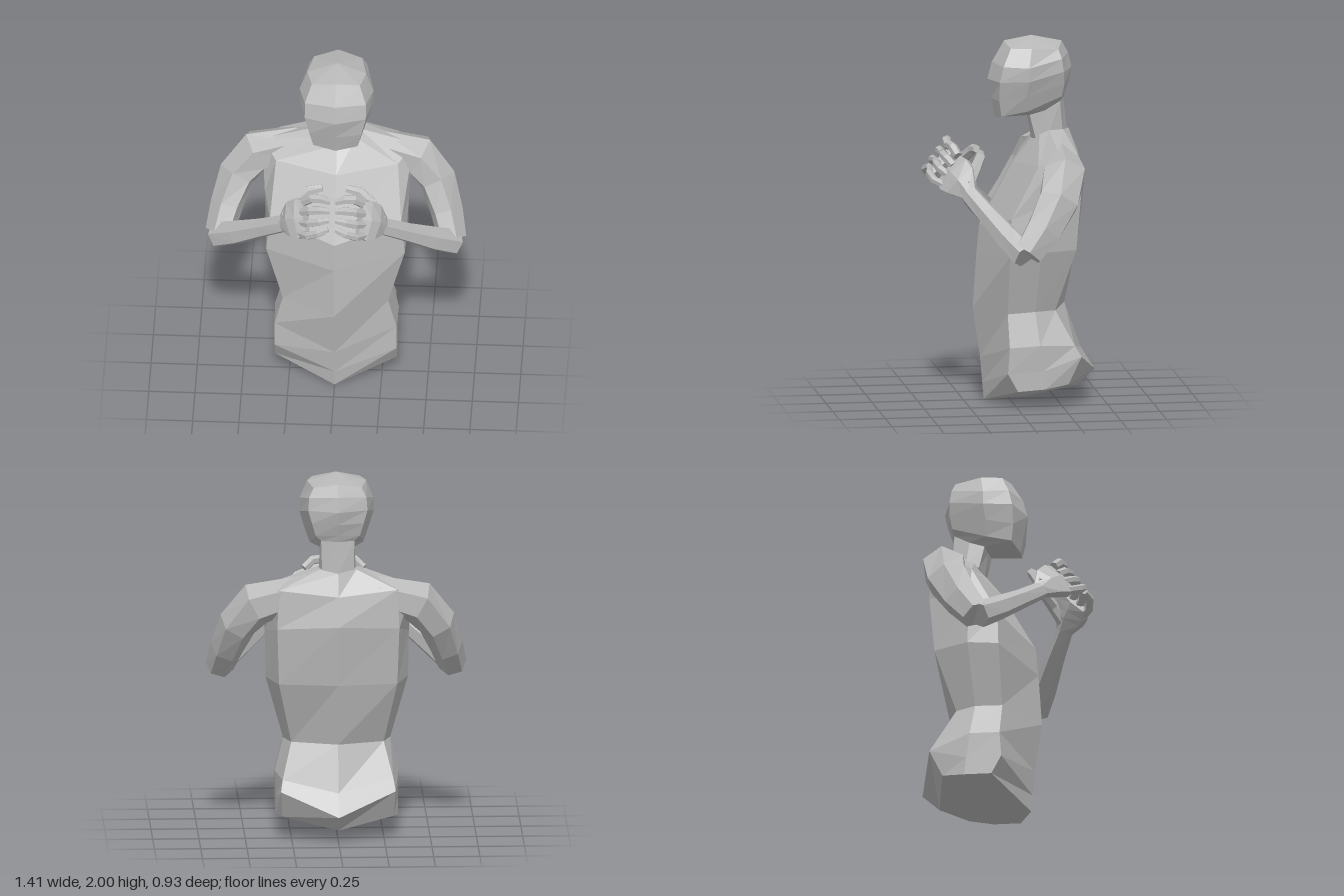
import * as THREE from 'three';

const grey = new THREE.MeshStandardMaterial({ color: 0xb8b8b8, flatShading: true });
grey.name = 'plain grey';

const V = (p) => new THREE.Vector3(...p);
const average = (ring) => ring.reduce((s, p) => s.add(p), new THREE.Vector3()).divideScalar(ring.length);

// Skins a list of rings and closes both ends with a fan.
function loft(name, rings, startTip, endTip) {
  const pos = [];
  const tri = (...pts) => pts.forEach((p) => pos.push(p.x, p.y, p.z));
  const n = rings[0].length;
  const first = rings[0], last = rings[rings.length - 1];
  const a = startTip || average(first), b = endTip || average(last);
  for (let i = 0; i < n; i++) {
    const j = (i + 1) % n;
    for (let r = 0; r < rings.length - 1; r++) {
      const p = rings[r], q = rings[r + 1];
      tri(p[i], p[j], q[j]);
      tri(p[i], q[j], q[i]);
    }
    tri(a, first[j], first[i]);
    tri(b, last[i], last[j]);
  }
  const geo = new THREE.BufferGeometry();
  geo.setAttribute('position', new THREE.Float32BufferAttribute(pos, 3));
  geo.computeVertexNormals();
  const mesh = new THREE.Mesh(geo, grey);
  mesh.name = name;
  return mesh;
}

// Half ring: front centre, front corner, side, back corner, back centre.
function symmetricRing(half) {
  const left = half.map(V);
  const right = left.slice(1, -1).reverse().map((p) => new THREE.Vector3(-p.x, p.y, p.z));
  return [...left, ...right];
}

// Limb through sections [x, y, z, half size along wide axis, half thickness].
function limb(name, sections, wide, side, sides = 6) {
  const c = sections.map((s) => V(s.slice(0, 3)));
  const rings = sections.map((s, k) => {
    const t = c[Math.min(k + 1, c.length - 1)].clone().sub(c[Math.max(k - 1, 0)]).normalize();
    const u = V(wide).addScaledVector(t, -V(wide).dot(t)).normalize();
    const v = t.clone().cross(u);
    const ring = [];
    for (let i = 0; i < sides; i++) {
      const ang = ((i + 0.5) / sides) * Math.PI * 2;
      const p = c[k].clone().addScaledVector(u, Math.cos(ang) * s[3]).addScaledVector(v, Math.sin(ang) * s[4]);
      p.x *= side;
      ring.push(p);
    }
    return side < 0 ? ring.reverse() : ring;
  });
  return loft(name, rings);
}

function makeTorso() {
  const rings = [
    [[0, 0.005, 0.14], [0.33, 0.1, 0], [0.33, 0.11, -0.15], [0.3, 0.13, -0.28], [0, 0.07, -0.37]],
    [[0, 0.1, 0.148], [0.33, 0.2, 0.055], [0.33, 0.21, -0.14], [0.31, 0.28, -0.35], [0, 0.16, -0.465]],
    [[0, 0.24, 0.16], [0.33, 0.34, 0.045], [0.335, 0.35, -0.12], [0.3, 0.34, -0.315], [0, 0.28, -0.39]],
    [[0, 0.515, 0.2], [0.285, 0.52, 0.05], [0.29, 0.53, -0.1], [0.25, 0.53, -0.215], [0, 0.53, -0.3]],
    [[0, 0.81, 0.18], [0.375, 0.85, 0.05], [0.385, 0.87, -0.12], [0.32, 0.87, -0.32], [0, 0.87, -0.37]],
    [[0, 0.97, 0.165], [0.355, 1.05, 0.04], [0.39, 1.12, -0.11], [0.33, 1.18, -0.345], [0, 1.2, -0.41]],
    [[0, 1.31, -0.02], [0.33, 1.33, -0.11], [0.41, 1.395, -0.22], [0.32, 1.39, -0.33], [0, 1.36, -0.375]],
    [[0, 1.44, -0.12], [0.1, 1.47, -0.15], [0.12, 1.495, -0.2], [0.1, 1.495, -0.28], [0, 1.48, -0.325]],
  ].map(symmetricRing);
  return loft('torso', rings, V([0, 0.02, -0.1]));
}

function makeHead() {
  const rings = [
    // neck
    [[0, 1.42, -0.12], [0.085, 1.45, -0.13], [0.1, 1.47, -0.2], [0.085, 1.47, -0.28], [0, 1.47, -0.315]],
    [[0, 1.57, -0.1], [0.08, 1.575, -0.1], [0.095, 1.6, -0.18], [0.09, 1.65, -0.265], [0, 1.65, -0.295]],
    // jaw to crown
    [[0, 1.555, 0.08], [0.12, 1.575, 0.06], [0.145, 1.605, -0.08], [0.12, 1.68, -0.27], [0, 1.685, -0.305]],
    [[0, 1.66, 0.1], [0.14, 1.665, 0.075], [0.175, 1.69, -0.07], [0.14, 1.75, -0.28], [0, 1.75, -0.325]],
    [[0, 1.765, 0.12], [0.165, 1.77, 0.075], [0.2, 1.775, -0.08], [0.16, 1.82, -0.275], [0, 1.82, -0.34]],
    [[0, 1.86, 0.095], [0.165, 1.855, 0.055], [0.2, 1.85, -0.08], [0.155, 1.89, -0.265], [0, 1.9, -0.32]],
    [[0, 1.97, 0.03], [0.13, 1.95, 0.01], [0.16, 1.95, -0.1], [0.13, 1.94, -0.25], [0, 1.965, -0.285]],
  ].map(symmetricRing);
  return loft('headAndNeck', rings, null, V([0, 2, -0.12]));
}

function makeHand(side) {
  const hand = new THREE.Group();
  hand.name = side > 0 ? 'leftHand' : 'rightHand';
  const across = [0, -0.8, 0.55];
  hand.add(limb('palm', [
    [0.27, 1.185, 0.255, 0.05, 0.035],
    [0.225, 1.245, 0.295, 0.11, 0.045],
    [0.185, 1.275, 0.325, 0.125, 0.04],
    [0.145, 1.3, 0.345, 0.11, 0.026],
  ], across, side));

  // Four curled fingers, stacked from index (top) to little finger.
  const mix = THREE.MathUtils.lerp;
  for (let i = 0; i < 4; i++) {
    const t = i / 3, r = 0.025 - 0.003 * t;
    const at = (x0, y0, z0, x1, y1, z1, s) => [mix(x0, x1, t), mix(y0, y1, t), mix(z0, z1, t), r * s, r * s];
    hand.add(limb('finger', [
      at(0.16, 1.375, 0.305, 0.18, 1.215, 0.375, 1),
      at(0.115, 1.415, 0.325, 0.13, 1.24, 0.43, 1.05),
      at(0.065, 1.42, 0.335, 0.075, 1.27, 0.448, 1),
      at(0.015, 1.4, 0.335, 0.02, 1.29, 0.435, 0.75),
    ], across, side));
  }
  hand.add(limb('thumb', [
    [0.25, 1.23, 0.26, 0.04, 0.035],
    [0.205, 1.305, 0.215, 0.035, 0.032],
    [0.14, 1.355, 0.18, 0.03, 0.028],
    [0.065, 1.37, 0.17, 0.022, 0.018],
  ], across, side));
  return hand;
}

function makeArm(side) {
  const arm = new THREE.Group();
  arm.name = side > 0 ? 'leftArm' : 'rightArm';
  arm.add(limb('upperArm', [
    [0.2, 1.365, -0.25, 0.09, 0.09],
    [0.44, 1.3, -0.235, 0.125, 0.12],
    [0.54, 1.18, -0.19, 0.12, 0.105],
    [0.595, 1.03, -0.1, 0.105, 0.09],
    [0.63, 0.91, -0.01, 0.085, 0.078],
  ], [0, 0, 1], side));
  arm.add(limb('forearm', [
    [0.64, 0.905, 0.005, 0.075, 0.07],
    [0.53, 0.985, 0.085, 0.07, 0.058],
    [0.39, 1.09, 0.175, 0.056, 0.048],
    [0.26, 1.195, 0.265, 0.05, 0.036],
  ], [0, -0.8, 0.55], side));
  arm.add(makeHand(side));
  return arm;
}

export function createModel() {
  const model = new THREE.Group();
  model.name = 'upperBodyFigure';
  model.add(makeTorso(), makeHead(), makeArm(1), makeArm(-1));
  return model;
}
